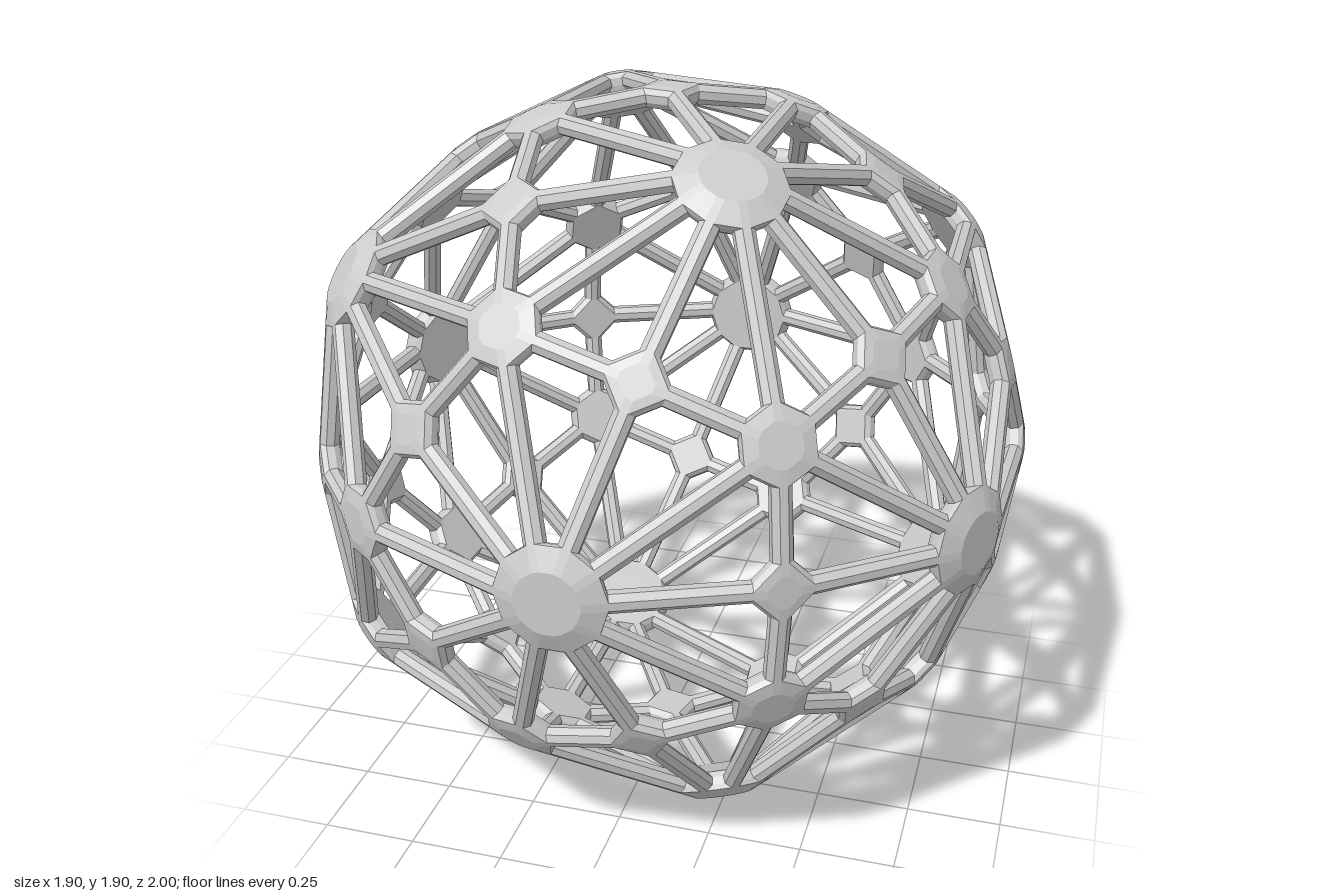
import * as THREE from 'three';
import { mergeGeometries } from 'three/addons/utils/BufferGeometryUtils.js';
import { ConvexGeometry } from 'three/addons/geometries/ConvexGeometry.js';

const SIDES = 8;
const BAR_RADIUS = 0.027;
const CENTRE_Y = 0.948;

// Hub kinds: distance from the centre, and how far the hub reaches along each bar
const KINDS = [
  { name: 'tenWayHubs', radius: 1.008, reach: 0.139 },
  { name: 'sixWayHubs', radius: 0.9455, reach: 0.09 },
  { name: 'fourWayHubs', radius: 0.9284, reach: 0.07 },
];

// Twelve icosahedron corners with the five-fold axis along z
function icosahedronCorners() {
  const corners = [new THREE.Vector3(0, 0, 1), new THREE.Vector3(0, 0, -1)];
  const h = 1 / Math.sqrt(5);
  for (let i = 0; i < 5; i++) {
    const a = (i * Math.PI * 2) / 5;
    const front = new THREE.Vector3(2 * h * Math.cos(a), 2 * h * Math.sin(a), h);
    corners.push(front, front.clone().negate());
  }
  return corners;
}

// Nodes over the corners, face centres and edge middles of the icosahedron
function buildNodes() {
  const c = icosahedronCorners();
  const near = (a, b) => a.dot(b) > 0.4;
  const nodes = [];
  const add = (kind, ...points) => {
    const dir = points.reduce((sum, p) => sum.add(p), new THREE.Vector3()).normalize();
    nodes.push({ kind, dir, pos: dir.clone().multiplyScalar(KINDS[kind].radius), points: [] });
  };
  for (let i = 0; i < 12; i++) {
    add(0, c[i]);
    for (let j = i + 1; j < 12; j++) {
      if (!near(c[i], c[j])) continue;
      add(2, c[i], c[j]);
      for (let k = j + 1; k < 12; k++) {
        if (near(c[i], c[k]) && near(c[j], c[k])) add(1, c[i], c[j], c[k]);
      }
    }
  }
  return nodes;
}

// One bar between two nodes; its end rings are added to both hubs
function buildBar(a, b) {
  const along = b.pos.clone().sub(a.pos);
  const length = along.length();
  along.normalize();
  const out = a.pos.clone().add(b.pos);
  out.addScaledVector(along, -out.dot(along)).normalize();
  const side = new THREE.Vector3().crossVectors(along, out);

  const addRing = (node, sign, distance) => {
    for (let i = 0; i < SIDES; i++) {
      const t = ((i + 0.5) * Math.PI * 2) / SIDES;
      node.points.push(node.pos.clone()
        .addScaledVector(along, sign * distance)
        .addScaledVector(out, BAR_RADIUS * Math.cos(t))
        .addScaledVector(side, BAR_RADIUS * Math.sin(t)));
    }
  };
  for (const [node, sign] of [[a, 1], [b, -1]]) {
    const reach = KINDS[node.kind].reach;
    addRing(node, sign, reach);
    addRing(node, sign, reach * 0.55);
  }

  const start = KINDS[a.kind].reach;
  const end = length - KINDS[b.kind].reach;
  const bar = new THREE.CylinderGeometry(BAR_RADIUS, BAR_RADIUS, end - start, SIDES, 1, true);
  bar.rotateY(Math.PI / SIDES);
  const matrix = new THREE.Matrix4().makeBasis(side, along, out);
  matrix.setPosition(a.pos.clone().addScaledVector(along, (start + end) / 2));
  return bar.applyMatrix4(matrix);
}

export function createModel() {
  const group = new THREE.Group();
  group.name = 'latticeSphere';
  const material = new THREE.MeshStandardMaterial({ color: 0xcccccc, flatShading: true });
  const addMesh = (name, geometries) => {
    const mesh = new THREE.Mesh(mergeGeometries(geometries), material);
    mesh.name = name;
    mesh.position.y = CENTRE_Y;
    group.add(mesh);
  };

  // Bars join neighbouring nodes of different kinds
  const nodes = buildNodes();
  const bars = [];
  nodes.forEach((a, i) => {
    for (const b of nodes.slice(i + 1)) {
      if (a.kind !== b.kind && a.dir.dot(b.dir) > 0.75) bars.push(buildBar(a, b));
    }
  });
  addMesh('bars', bars);

  // Each hub is the hull of the bar ends that meet there
  KINDS.forEach((kind, k) => {
    const hubs = nodes.filter((n) => n.kind === k).map((n) => new ConvexGeometry(n.points));
    addMesh(kind.name, hubs);
  });
  return group;
}
